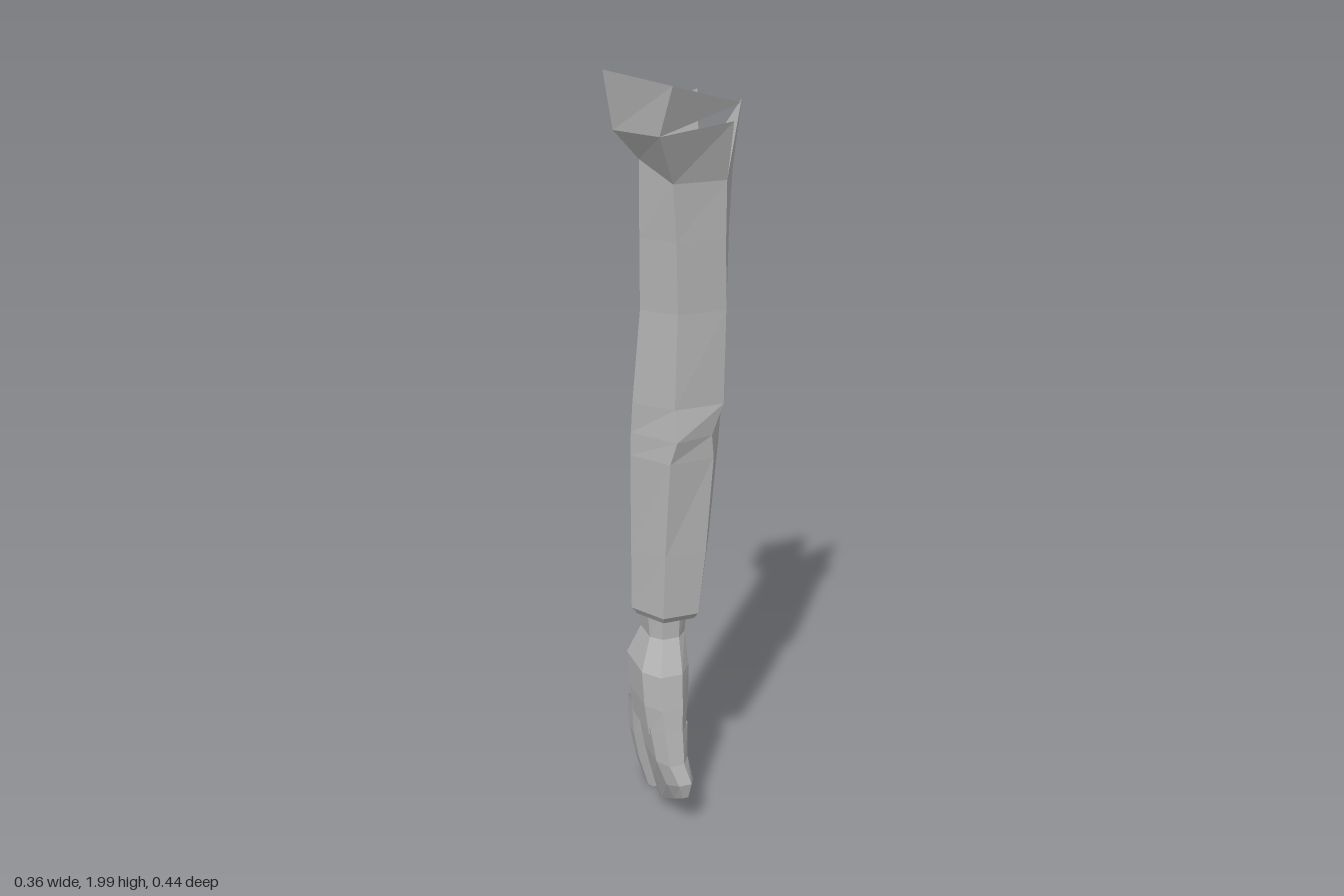
import * as THREE from 'three';

const grey = new THREE.MeshStandardMaterial({ color: 0xb0b0b0, flatShading: true, side: THREE.DoubleSide });
grey.name = 'plain grey';

// Mesh from a list of corner points and triangles
function faceted(name, points, tris) {
  const geo = new THREE.BufferGeometry();
  geo.setAttribute('position', new THREE.Float32BufferAttribute(points.flat(), 3));
  geo.setIndex(tris.flat());
  const flat = geo.toNonIndexed();
  flat.computeVertexNormals();
  const mesh = new THREE.Mesh(flat, grey);
  mesh.name = name;
  return mesh;
}

// Skin over rings listed from bottom to top, each counter-clockwise from above
function loft(name, rings, capBottom = true, capTop = false) {
  const n = rings[0].length, tris = [];
  for (let i = 0; i < rings.length - 1; i++) {
    for (let j = 0; j < n; j++) {
      const a = i * n + j, b = i * n + (j + 1) % n;
      tris.push([a, b, b + n], [a, b + n, a + n]);
    }
  }
  const top = (rings.length - 1) * n;
  for (let j = 1; j < n - 1; j++) {
    if (capBottom) tris.push([0, j + 1, j]);
    if (capTop) tris.push([top, top + j, top + j + 1]);
  }
  return faceted(name, rings.flat(), tris);
}

// Bevelled rectangular section; slopeZ and slopeX tilt it
function section(y, x0, x1, z0, z1, slopeZ = 0, slopeX = 0) {
  const cx = (x1 - x0) * 0.27, cz = (z1 - z0) * 0.22;
  const xm = (x0 + x1) / 2, zm = (z0 + z1) / 2;
  return [
    [x0, z0 + cz], [x0, z1 - cz], [x0 + cx, z1], [x1 - cx, z1],
    [x1, z1 - cz], [x1, z0 + cz], [x1 - cx, z0], [x0 + cx, z0],
  ].map(([x, z]) => [x, y + (z - zm) * slopeZ + (x - xm) * slopeX, z]);
}

// Six-sided sleeve section: left, front pair, right, back pair
function hex(y, lx, lz, flx, flz, frx, frz, rx, rz, brx, blx, bz) {
  return [[lx, y, lz], [flx, y, flz], [frx, y, frz], [rx, y, rz], [brx, y, bz], [blx, y, bz]];
}

export function createModel() {
  const model = new THREE.Group();
  model.name = 'arm';

  // Sleeve with a fold at the elbow
  const cuff = [
    hex(0.59, -0.08, 0.01, -0.05, 0.06, 0, 0.06, 0.025, 0.01, 0, -0.05, -0.045),
    hex(0.59, -0.1, 0.02, -0.055, 0.095, 0.03, 0.095, 0.06, 0.015, 0.03, -0.055, -0.07),
    hex(0.61, -0.115, 0.02, -0.06, 0.11, 0.035, 0.11, 0.075, 0.015, 0.04, -0.06, -0.08),
  ];
  const top = hex(1.74, -0.095, 0.045, -0.035, 0.112, 0.1, 0.112, 0.155, 0.01, 0.1, -0.03, -0.07);
  top[0][1] = 1.79;
  const sleeve = loft('sleeve', [
    ...cuff,
    hex(0.78, -0.115, 0.02, -0.055, 0.11, 0.055, 0.11, 0.1, 0.015, 0.055, -0.055, -0.08),
    hex(1.04, -0.115, 0.02, -0.045, 0.12, 0.075, 0.108, 0.125, 0.012, 0.08, -0.05, -0.075),
    hex(1.1, -0.113, 0.02, -0.03, 0.13, 0.07, 0.108, 0.13, 0.01, 0.085, -0.05, -0.073),
    hex(1.18, -0.11, 0.025, -0.03, 0.112, 0.1, 0.108, 0.14, 0.01, 0.09, -0.045, -0.07),
    hex(1.42, -0.09, 0.03, -0.02, 0.105, 0.105, 0.105, 0.14, 0.01, 0.1, -0.03, -0.07),
    hex(1.6, -0.092, 0.035, -0.025, 0.108, 0.1, 0.11, 0.148, 0.01, 0.1, -0.03, -0.07),
    top,
  ], false);
  model.add(sleeve);

  // Torn, flaring edge of the sleeve
  const [L, FL, FR, R, BR, BL] = top;
  const leftLow = [-0.155, 1.86, 0.035], frontLow = [-0.09, 1.865, 0.172];
  const leftTip = [-0.18, 2, 0.042], frontTip = [-0.075, 1.985, 0.217];
  const shred = [0.105, 1.93, 0.175], frontEnd = [0.098, 1.885, 0.155];
  const backLeft = [-0.06, 1.87, -0.11], backMid = [-0.015, 1.87, -0.11], backTip = [0.1, 1.92, -0.085];
  const spike = [0.18, 1.905, 0];
  const quad = (a, b, c, d) => [[a, b, c], [a, c, d]];
  const tornFaces = [
    ...quad(L, FL, frontLow, leftLow),
    ...quad(leftLow, frontLow, frontTip, leftTip),
    [frontLow, shred, frontTip],
    ...quad(FL, FR, frontEnd, frontLow),
    [FR, R, spike], [R, BR, spike],
    ...quad(BR, BL, backMid, backTip),
    [BL, backLeft, backMid],
    ...quad(BL, L, leftLow, backLeft),
  ];
  model.add(faceted('tornSleeveEdge', tornFaces.flat(), tornFaces.map((_, i) => [3 * i, 3 * i + 1, 3 * i + 2])));

  // Hand: palm and wrist, joined fingers, forefinger, thumb
  const hand = new THREE.Group();
  hand.name = 'hand';
  hand.add(loft('palm', [
    section(0.28, -0.103, 0, -0.06, 0.165),
    section(0.36, -0.11, 0.012, -0.07, 0.15),
    section(0.45, -0.11, 0.02, -0.085, 0.13),
    section(0.53, -0.075, 0.022, -0.052, 0.075),
    section(0.6, -0.08, 0.028, -0.05, 0.072),
  ]));
  hand.add(loft('joinedFingers', [
    section(0.06, -0.045, -0.012, 0.015, 0.193, 0.6),
    section(0.125, -0.07, 0.005, 0.012, 0.202, 0.35),
    section(0.21, -0.092, -0.005, 0.006, 0.182),
    section(0.3, -0.103, 0.002, -0.005, 0.163),
  ]));
  hand.add(loft('forefinger', [
    section(0.018, -0.05, -0.012, -0.09, -0.03, -0.2),
    section(0.1, -0.075, 0, -0.09, -0.028),
    section(0.2, -0.095, -0.008, -0.083, -0.02),
    section(0.31, -0.105, 0.005, -0.065, -0.002),
  ]));
  hand.add(loft('thumb', [
    section(0.19, 0.04, 0.1, -0.215, -0.165, 0, 0.4),
    section(0.215, 0.03, 0.1, -0.22, -0.16, 0, 0.3),
    section(0.295, -0.002, 0.062, -0.203, -0.145, -0.7),
    section(0.33, -0.02, 0.052, -0.185, -0.115, -0.8),
    section(0.395, -0.06, 0.05, -0.125, -0.05, -1.7),
    section(0.45, -0.07, 0.025, -0.085, 0.01, -1.2),
  ], true, true));
  model.add(hand);
  return model;
}
